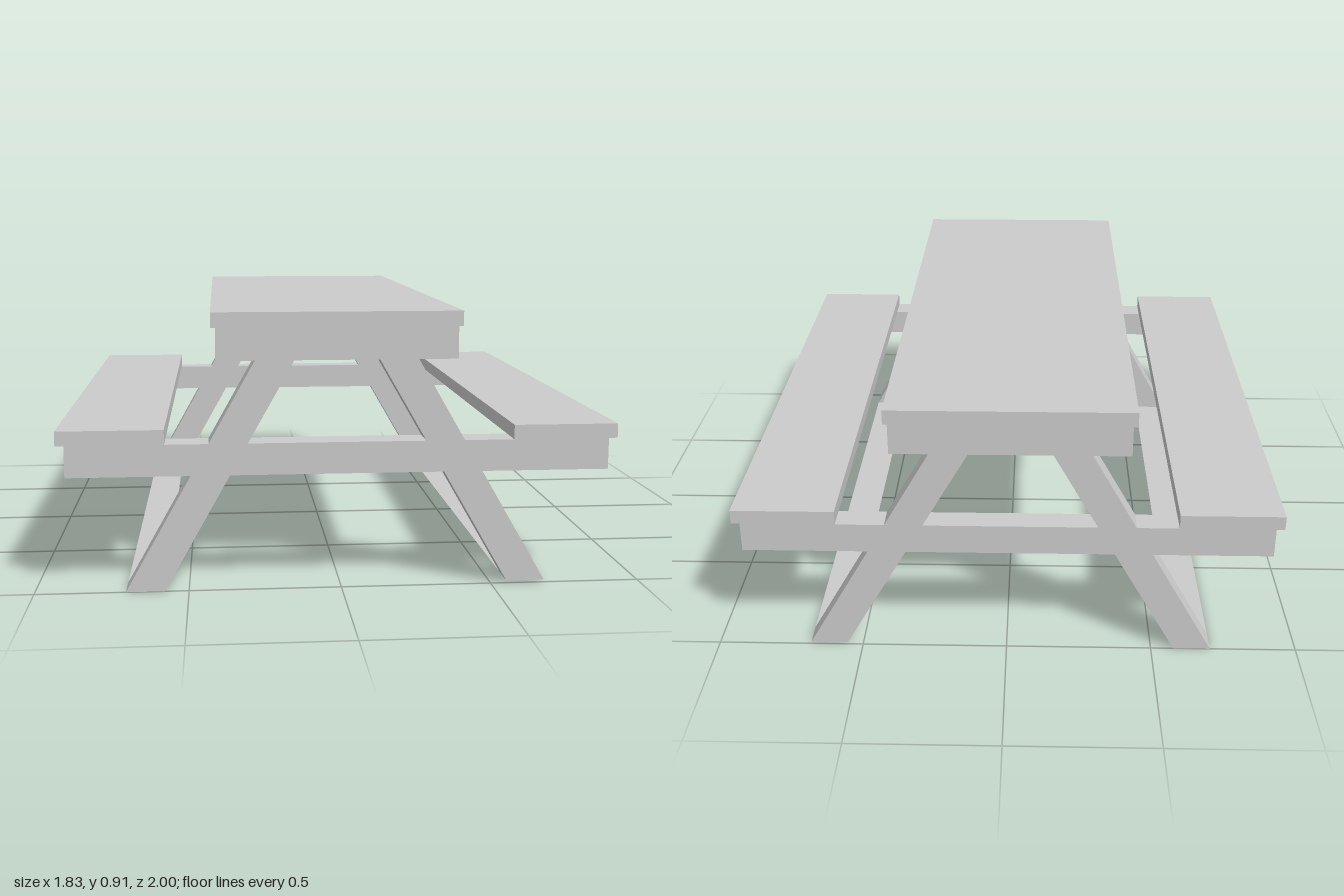
import * as THREE from 'three';

const material = new THREE.MeshStandardMaterial({ color: 0xcccccc, flatShading: true });
const sheet = new THREE.MeshStandardMaterial({ color: 0xcccccc, flatShading: true, side: THREE.DoubleSide });

// Heights shared by the parts
const TOP = 0.91, TABLE_EDGE = 0.86, LEG_TOP = 0.755;
const BENCH_TOP = 0.535, BEAM_TOP = 0.487, BEAM_BOTTOM = 0.383;
const LEG_WIDTH = 0.127;

// Outer edge of each sloping leg at height y
const leftLeg = (y) => -0.705 + (y / LEG_TOP) * 0.425;
const rightLeg = (y) => 0.68 - ((y - 0.008) / (LEG_TOP - 0.008)) * 0.43;

function add(group, name, geometry, mat = material) {
  const mesh = new THREE.Mesh(geometry, mat);
  mesh.name = name;
  group.add(mesh);
  return mesh;
}

// Full-length board between two x and two y limits
function board(group, name, x0, x1, y0, y1) {
  const mesh = add(group, name, new THREE.BoxGeometry(x1 - x0, y1 - y0, 2));
  mesh.position.set((x0 + x1) / 2, (y0 + y1) / 2, 0);
}

// End frame: splayed legs and the cross beam in one outline
function endFrame(group, name, z0, z1) {
  const w = LEG_WIDTH;
  const points = [
    [leftLeg(0), 0], [leftLeg(0) + w, 0],
    [leftLeg(BEAM_BOTTOM) + w, BEAM_BOTTOM], [rightLeg(BEAM_BOTTOM) - w, BEAM_BOTTOM],
    [rightLeg(0.008) - w, 0.008], [rightLeg(0.008), 0.008],
    [rightLeg(BEAM_BOTTOM), BEAM_BOTTOM], [0.885, BEAM_BOTTOM],
    [0.885, BEAM_TOP], [rightLeg(BEAM_TOP), BEAM_TOP],
    [rightLeg(LEG_TOP), LEG_TOP], [rightLeg(LEG_TOP) - w, LEG_TOP],
    [rightLeg(BEAM_TOP) - w, BEAM_TOP], [leftLeg(BEAM_TOP) + w, BEAM_TOP],
    [leftLeg(LEG_TOP) + w, LEG_TOP], [leftLeg(LEG_TOP), LEG_TOP],
    [leftLeg(BEAM_TOP), BEAM_TOP], [-0.89, BEAM_TOP],
    [-0.89, BEAM_BOTTOM], [leftLeg(BEAM_BOTTOM), BEAM_BOTTOM],
  ].map(([x, y]) => new THREE.Vector2(x, y));
  const geometry = new THREE.ExtrudeGeometry(new THREE.Shape(points), { depth: z1 - z0, bevelEnabled: false });
  add(group, name, geometry).position.z = z0;
}

export function createModel() {
  const model = new THREE.Group();
  model.name = 'picnicTable';

  // Table top and the solid block below it
  board(model, 'tableTop', -0.42, 0.393, TABLE_EDGE, TOP);
  board(model, 'tableApron', -0.405, 0.378, LEG_TOP, TABLE_EDGE);

  // Bench seats
  board(model, 'benchSeatRight', -0.918, -0.572, BEAM_TOP, BENCH_TOP);
  board(model, 'benchSeatLeft', 0.568, 0.914, BEAM_TOP, BENCH_TOP);

  // Frames at both ends
  endFrame(model, 'frontFrame', 0.897, 1);
  endFrame(model, 'backFrame', -1, -0.915);

  // Thin skirts below the outer bench edges
  for (const [name, x] of [['benchSkirtRight', -0.89], ['benchSkirtLeft', 0.885]]) {
    const skirt = add(model, name, new THREE.PlaneGeometry(2, BEAM_TOP - BEAM_BOTTOM), sheet);
    skirt.rotation.y = Math.sign(x) * Math.PI / 2;
    skirt.position.set(x, (BEAM_TOP + BEAM_BOTTOM) / 2, 0);
  }

  // Thin floor strips joining the front and back feet
  for (const [name, x, y] of [
    ['footStripRight', leftLeg(0) + LEG_WIDTH / 2, 0],
    ['footStripLeft', rightLeg(0.008) - LEG_WIDTH / 2, 0.008],
  ]) {
    const strip = add(model, name, new THREE.PlaneGeometry(LEG_WIDTH, 2), sheet);
    strip.rotation.x = -Math.PI / 2;
    strip.position.set(x, y, 0);
  }

  return model;
}
